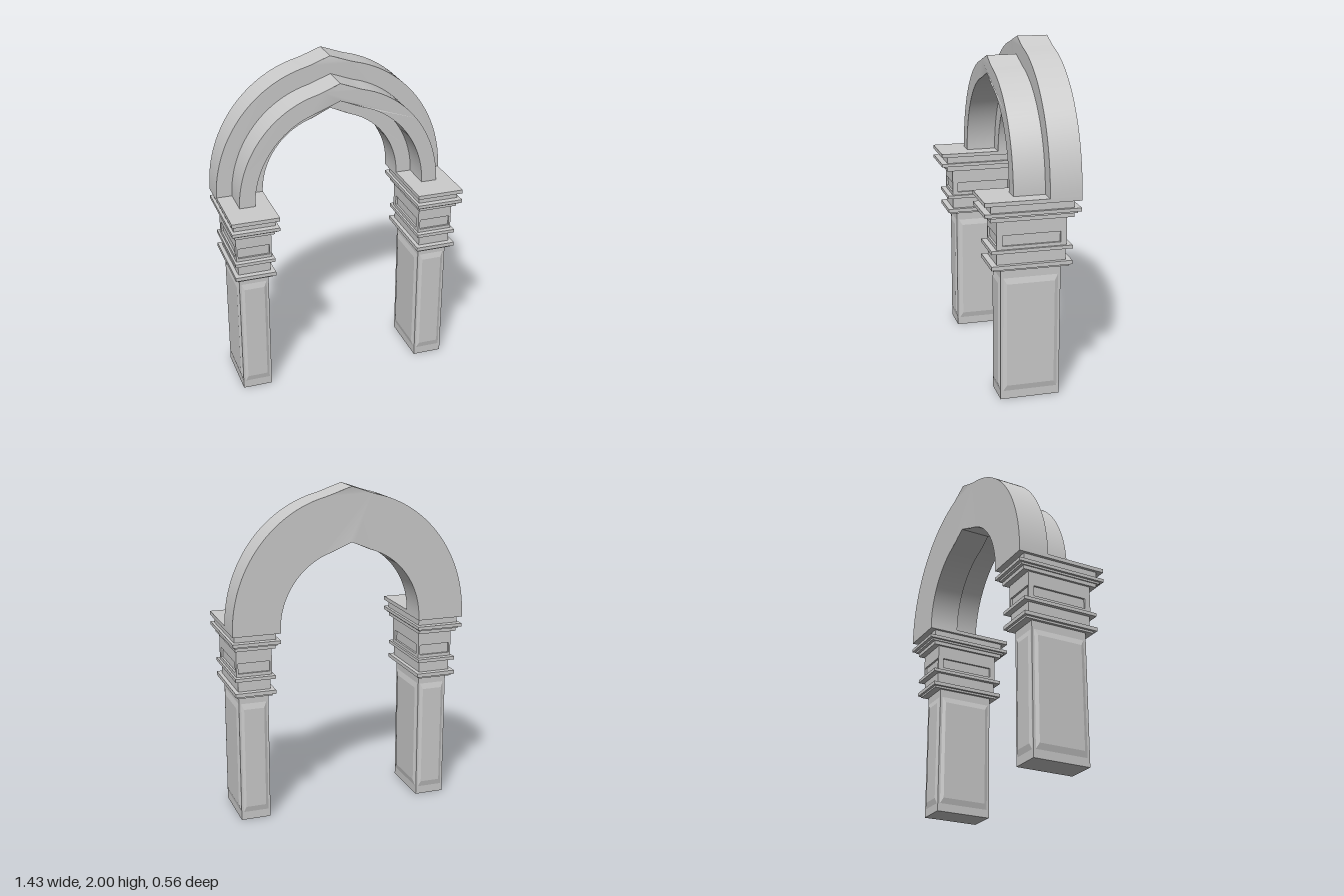
import * as THREE from 'three';
import { toCreasedNormals } from 'three/addons/utils/BufferGeometryUtils.js';

const mat = new THREE.MeshStandardMaterial({ color: 0xcccccc, side: THREE.DoubleSide });
const SPRING = 1.2; // height where the arch begins

function add(parent, name, geo, x = 0, y = 0, z = 0, ry = 0) {
  const m = new THREE.Mesh(geo, mat);
  m.name = name;
  m.position.set(x, y, z);
  m.rotation.y = ry;
  parent.add(m);
  return m;
}

// box given by half sizes in x and z, and its bottom and top
function slab(parent, name, hx, hz, y0, y1, x = 0, z = 0) {
  return add(parent, name, new THREE.BoxGeometry(hx * 2, y1 - y0, hz * 2), x, (y0 + y1) / 2, z);
}

// raised panel with sloping borders, facing +z
function panelGeometry(w, h, depth, borderX, borderY) {
  const g = new THREE.BoxGeometry(w, h, depth);
  const p = g.attributes.position;
  for (let i = 0; i < p.count; i++) {
    if (p.getZ(i) < 0) continue;
    p.setX(i, p.getX(i) - Math.sign(p.getX(i)) * borderX);
    p.setY(i, p.getY(i) - Math.sign(p.getY(i)) * borderY);
  }
  g.translate(0, 0, depth / 2);
  g.computeVertexNormals();
  return g;
}

// half ellipse that flares up to a small point at the crown
function archCurve(r, apex) {
  const tip = 0.034, w = 0.12 + (r - 0.43) * 0.1, b = apex - SPRING - tip, n = 72;
  const pts = [];
  for (let i = 0; i <= n; i++) {
    const t = (Math.PI * i) / n;
    const x = r * Math.cos(t);
    const bump = tip * Math.pow(Math.max(0, 1 - Math.abs(x) / w), 1.4);
    pts.push(new THREE.Vector2(x, SPRING + (i % n ? b * Math.sin(t) : 0) + bump));
  }
  return pts;
}

function archRing(rOut, apexOut, rIn, apexIn, z0, z1) {
  const shape = new THREE.Shape([...archCurve(rOut, apexOut), ...archCurve(rIn, apexIn).reverse()]);
  const g = new THREE.ExtrudeGeometry(shape, { depth: z1 - z0, bevelEnabled: false });
  g.translate(0, 0, z0);
  // the crown leans back very slightly
  const p = g.attributes.position;
  for (let i = 0; i < p.count; i++) {
    const k = Math.max(0, 1 - Math.abs(p.getX(i)) / 0.09) * (p.getY(i) > 1.5 ? 1 : 0);
    p.setZ(i, p.getZ(i) - 0.005 * k);
  }
  return toCreasedNormals(g, 0.3);
}

function pillar() {
  const g = new THREE.Group();

  // shaft with a raised panel on each side
  slab(g, 'shaft', 0.09, 0.175, 0, 0.8);
  const narrow = panelGeometry(0.154, 0.69, 0.008, 0.016, 0.035);
  const wide = panelGeometry(0.32, 0.69, 0.008, 0.02, 0.035);
  for (const s of [1, -1]) {
    add(g, 'narrowPanel', narrow, 0, 0.395, s * 0.175, s > 0 ? 0 : Math.PI);
    add(g, 'widePanel', wide, s * 0.09, 0.395, 0, (s * Math.PI) / 2);
  }

  // stacked mouldings: half width, half depth, bottom, top
  const mouldings = [
    ['lowerBandLip', 0.107, 0.22, 0.79, 0.802],
    ['lowerBand', 0.122, 0.235, 0.802, 0.825],
    ['collar', 0.098, 0.2, 0.825, 0.895],
    ['middleBand', 0.12, 0.235, 0.895, 0.915],
    ['neckBottom', 0.107, 0.203, 0.915, 0.935],
    ['neckTop', 0.107, 0.203, 0.997, 1.08],
    ['upperBand', 0.121, 0.24, 1.08, 1.103],
    ['upperBandLip', 0.128, 0.258, 1.103, 1.115],
    ['capLower', 0.142, 0.2775, 1.115, 1.135],
    ['capMiddle', 0.125, 0.24, 1.135, 1.177],
    ['capTop', 0.142, 0.2775, 1.177, SPRING],
  ];
  for (const m of mouldings) slab(g, ...m);

  // neck with sunken panels between corner posts
  slab(g, 'neckCore', 0.095, 0.191, 0.935, 0.997);
  for (const sx of [1, -1]) {
    for (const sz of [1, -1]) {
      slab(g, 'neckCorner', 0.006, 0.0175, 0.935, 0.997, sx * 0.101, sz * 0.1855);
    }
  }
  return g;
}

export function createModel() {
  const model = new THREE.Group();
  model.name = 'archway';
  for (const s of [1, -1]) {
    const p = pillar();
    p.name = s > 0 ? 'leftPillar' : 'rightPillar';
    p.position.set(s * 0.572, 0, 0.0025);
    model.add(p);
  }
  // large arch behind, slimmer arch in front
  add(model, 'backArch', archRing(0.714, 2.0, 0.43, 1.68, -0.275, -0.09));
  add(model, 'frontArch', archRing(0.62, 1.893, 0.525, 1.787, -0.09, 0.094));
  return model;
}
